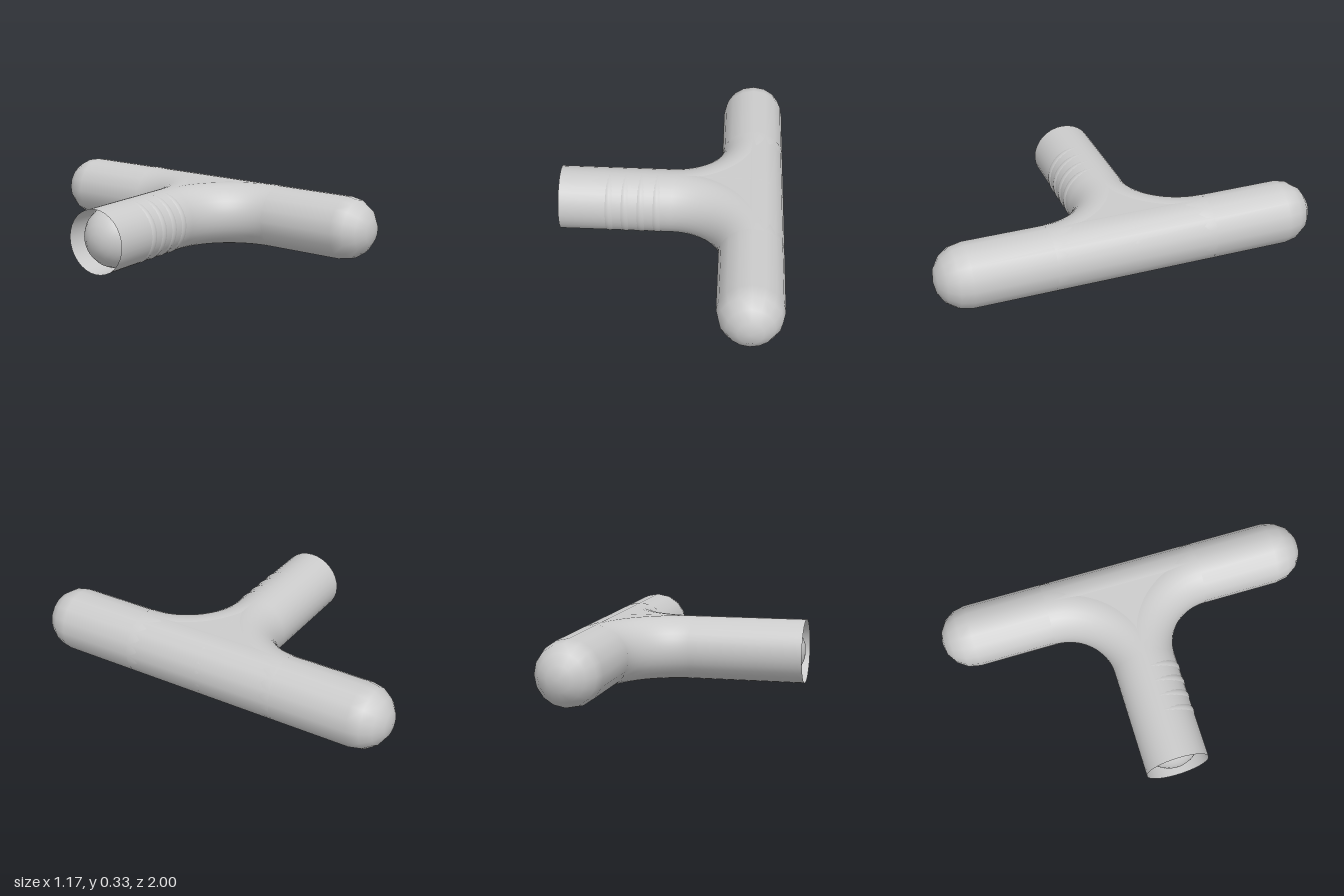
import * as THREE from 'three';

const R = 0.1665;      // radius of every limb
const BEND = 0.42;     // centre-line radius of the elbows
const BAR_X = 0.42;    // axis of the crossbar
const END = -0.587;    // open end of the stem

export function createModel() {
  const group = new THREE.Group();
  group.name = 'teeHandle';
  const material = new THREE.MeshStandardMaterial({ color: 0xcccccc });
  const openMaterial = new THREE.MeshStandardMaterial({ color: 0xcccccc, side: THREE.DoubleSide });

  const add = (name, geometry, x, z = 0, mat = material) => {
    const mesh = new THREE.Mesh(geometry, mat);
    mesh.name = name;
    mesh.position.set(x, R, z);
    group.add(mesh);
    return mesh;
  };

  // Round-ended crossbar running front to back
  add('crossbar', new THREE.CapsuleGeometry(R, 2 - 2 * R, 4, 16).rotateX(Math.PI / 2), BAR_X);

  // Round-ended core of the stem, its dome just reaching the open end
  const coreLength = BAR_X - END - R;
  add('stemCore', new THREE.CapsuleGeometry(R - 0.002, coreLength, 6, 32).rotateZ(Math.PI / 2),
    (BAR_X + END + R) / 2);

  // Open sleeve around the stem
  add('stemSleeve', new THREE.CylinderGeometry(R, R, -END, 32, 1, true).rotateZ(Math.PI / 2),
    END / 2, 0, openMaterial);

  // Elbows sweeping from the stem into both halves of the crossbar
  for (const side of [1, -1]) {
    const elbow = new THREE.TorusGeometry(BEND, R, 32, 20, Math.PI / 2).rotateX(-side * Math.PI / 2);
    add(side > 0 ? 'frontElbow' : 'backElbow', elbow, 0, side * BEND);
  }

  // Flat web filling the gap between the elbows and the crossbar
  const web = new THREE.Shape();
  web.moveTo(0, 0);
  web.absarc(0, BEND, BEND, -Math.PI / 2, 0, false);
  web.lineTo(BAR_X, -BEND);
  web.absarc(0, -BEND, BEND, 0, Math.PI / 2, false);
  const webHeight = 2 * R - 0.005;
  const webGeometry = new THREE.ExtrudeGeometry(web, { depth: webHeight, bevelEnabled: false, curveSegments: 20 });
  webGeometry.translate(0, 0, -webHeight / 2).rotateX(-Math.PI / 2);
  add('web', webGeometry, 0);

  // Shallow finger ridges on the front of the stem
  for (let i = 0; i < 4; i++) {
    const ridge = new THREE.TorusGeometry(R - 0.04, 0.04, 16, 24, Math.PI)
      .rotateZ(-Math.PI / 2).rotateY(-Math.PI / 2);
    add('fingerRidge', ridge, -0.325 + i * 0.083, 0.005);
  }

  return group;
}
